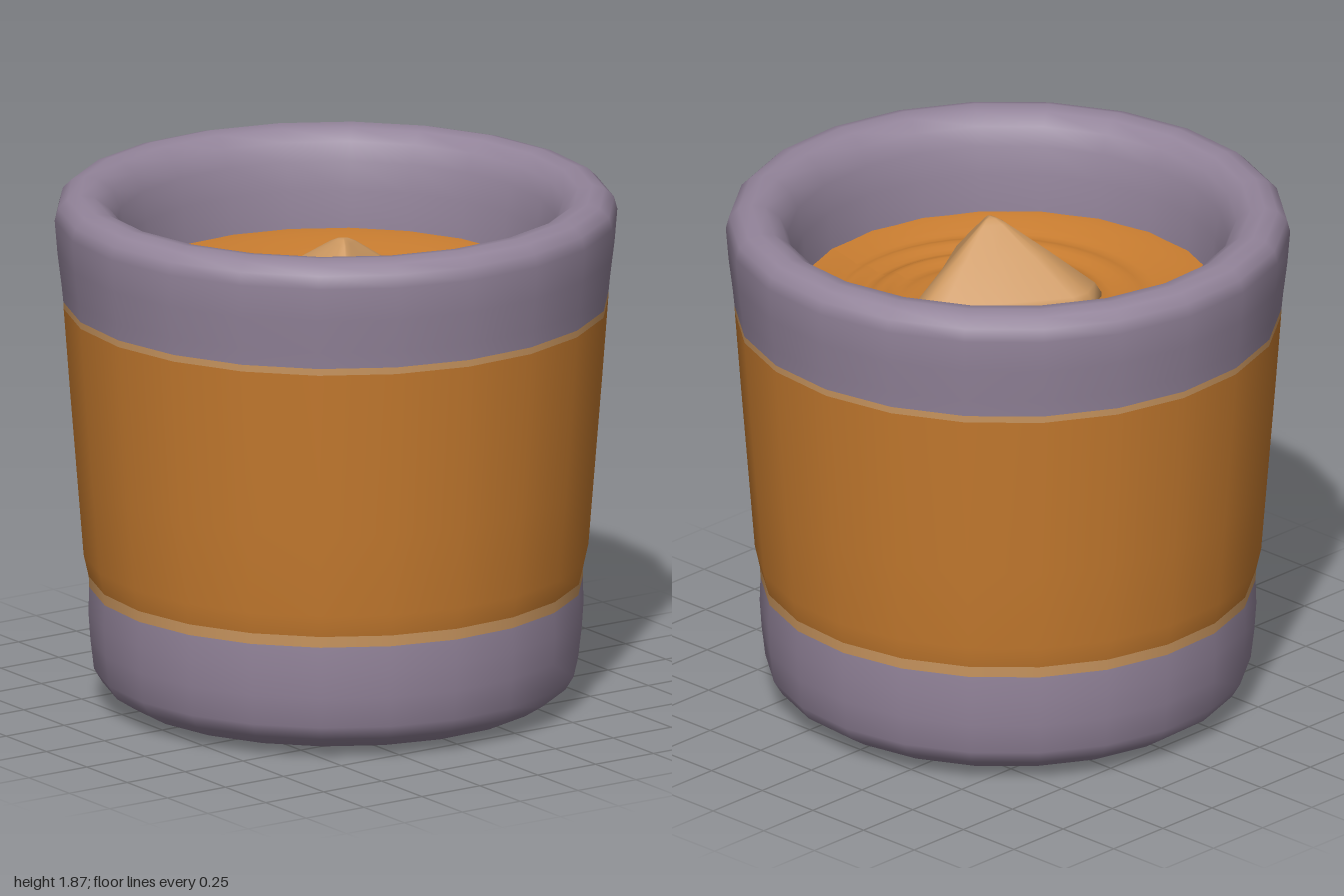
import * as THREE from 'three';

const SIDES = 22;
const PHASE = 0.185;

function material(name, color) {
  const m = new THREE.MeshStandardMaterial({ color });
  m.name = name;
  return m;
}

// Revolve a profile of [radius, height] points
function lathe(name, profile, mat, sides = SIDES) {
  const points = profile.map(([r, y]) => new THREE.Vector2(r, y));
  const mesh = new THREE.Mesh(new THREE.LatheGeometry(points, sides, PHASE), mat);
  mesh.name = name;
  return mesh;
}

// Soup surface: a shallow bowl with off-centre ripples
function liquidSurface(mat) {
  const R = 0.77, steps = 34, profile = [];
  for (let i = 0; i <= steps; i++) {
    const r = R * (1 - i / steps);
    const ripple = 0.011 * Math.cos((r - 0.52) * 42) * THREE.MathUtils.smoothstep(r, 0.2, 0.35)
      * (1 - THREE.MathUtils.smoothstep(r, 0.53, 0.62));
    const edge = 0.05 * THREE.MathUtils.smoothstep(r, 0.5, R);
    profile.push([r, 1.475 + ripple + edge]);
  }
  const mesh = lathe('liquid', profile, mat, 44);
  const p = mesh.geometry.attributes.position;
  for (let i = 0; i < p.count; i++) {
    const r = Math.hypot(p.getX(i), p.getZ(i)) / R;
    p.setZ(i, p.getZ(i) + 0.16 * (1 - r * r));
  }
  mesh.geometry.computeVertexNormals();
  return mesh;
}

// Rounded three-cornered lump, built from rings shrinking towards its peak
function lump(mat) {
  const outline = [
    [-0.22, -0.21], [-0.15, -0.2], [0.08, -0.05], [0.26, 0.08], [0.3, 0.14], [0.26, 0.21],
    [0, 0.34], [-0.19, 0.45], [-0.26, 0.465], [-0.33, 0.36], [-0.35, 0.18], [-0.35, 0], [-0.31, -0.16],
  ];
  const peak = [-0.09, 0.175];
  const rings = [[1, 1.42], [1, 1.49], [0.94, 1.525], [0.5, 1.64], [0.14, 1.73], [0.06, 1.745]];
  const n = outline.length, pos = [], index = [];
  for (const [s, y] of rings)
    for (const [x, z] of outline)
      pos.push(peak[0] + (x - peak[0]) * s, y, peak[1] + (z - peak[1]) * s);
  const top = pos.length / 3;
  pos.push(peak[0], 1.75, peak[1]);
  for (let k = 0; k < rings.length; k++) {
    for (let i = 0; i < n; i++) {
      const j = (i + 1) % n, a = k * n + i, b = k * n + j;
      if (k === rings.length - 1) index.push(a, top, b);
      else index.push(a, a + n, b, b, a + n, b + n);
    }
  }
  const geo = new THREE.BufferGeometry();
  geo.setAttribute('position', new THREE.Float32BufferAttribute(pos, 3));
  geo.setIndex(index);
  geo.computeVertexNormals();
  const mesh = new THREE.Mesh(geo, mat);
  mesh.name = 'floatingLump';
  return mesh;
}

export function createModel() {
  const stone = material('greyPurple', 0x93849a);
  const orange = material('orange', 0xc67b2f);
  const tan = material('tan', 0xcb9760);
  const model = new THREE.Group();
  model.name = 'cup';

  model.add(
    // Rounded foot
    lathe('foot', [
      [0, 0.005], [0.4, 0.004], [0.62, 0.01], [0.76, 0.035], [0.83, 0.08], [0.86, 0.13],
      [0.873, 0.24], [0.88, 0.34], [0.877, 0.43],
    ], stone),
    // Thin trims around the band
    lathe('lowerTrim', [[0.877, 0.43], [0.879, 0.47]], tan),
    lathe('band', [[0.879, 0.47], [0.897, 0.55], [0.921, 0.85], [0.945, 1.15], [0.968, 1.455]], orange),
    lathe('upperTrim', [[0.968, 1.455], [0.969, 1.48]], tan),
    // Thick collar rolling over into the inner wall
    lathe('rim', [
      [0.969, 1.48], [0.975, 1.54], [0.99, 1.66], [1, 1.78], [0.988, 1.825], [0.955, 1.857],
      [0.91, 1.87], [0.86, 1.862], [0.81, 1.825], [0.78, 1.76], [0.76, 1.66], [0.75, 1.54], [0.745, 1.42],
    ], stone),
    liquidSurface(orange),
    lump(tan),
  );
  return model;
}
